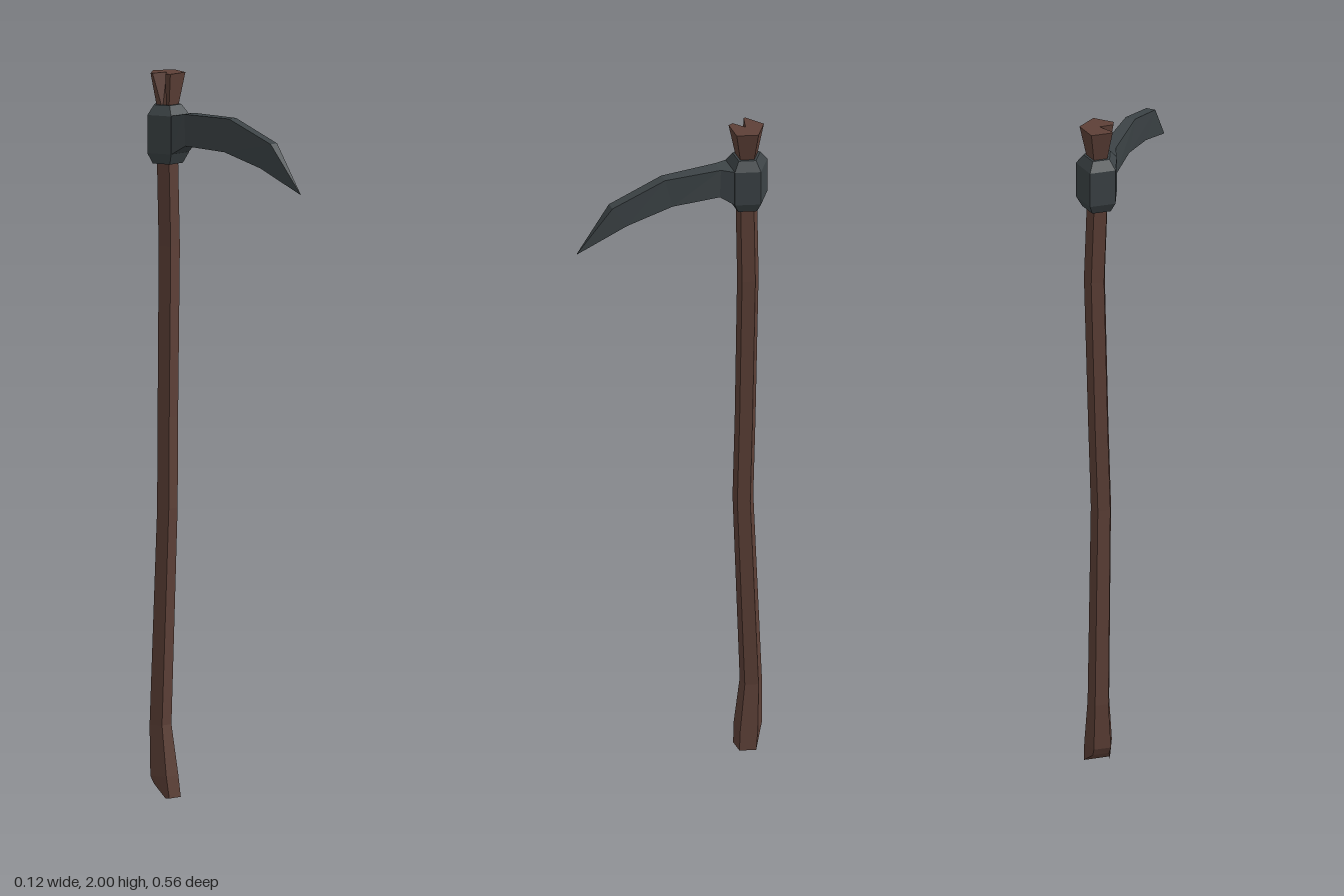
import * as THREE from 'three';

const wood = new THREE.MeshStandardMaterial({ color: 0x5d4037, flatShading: true });
const metal = new THREE.MeshStandardMaterial({ color: 0x3c4346, flatShading: true });

// Skins rings of [x, y, z] (clockwise seen from the last ring) and caps both ends with a fan.
function loft(name, rings, material, hub = 0) {
  const n = rings[0].length, index = [];
  for (let r = 0; r < rings.length - 1; r++) {
    for (let i = 0; i < n; i++) {
      const a = r * n + i, b = r * n + (i + 1) % n;
      index.push(a, a + n, b + n, a, b + n, b);
    }
  }
  const last = (rings.length - 1) * n;
  for (let k = 1; k < n - 1; k++) {
    const p = (hub + k) % n, q = (hub + k + 1) % n;
    index.push(hub, p, q, last + hub, last + q, last + p);
  }
  let geometry = new THREE.BufferGeometry();
  geometry.setAttribute('position', new THREE.Float32BufferAttribute(rings.flat(2), 3));
  geometry.setIndex(index);
  geometry = geometry.toNonIndexed();
  geometry.computeVertexNormals();
  const mesh = new THREE.Mesh(geometry, material);
  mesh.name = name;
  return mesh;
}

// Five-sided ring with one corner pointing back.
function pentagon(x, y, z, r) {
  return Array.from({ length: 5 }, (_, i) => {
    const a = i * Math.PI * 2 / 5;
    return [x + r * Math.sin(a), y, z - r * Math.cos(a)];
  });
}

// Pentagon with three more points on its left-hand edge, used for the split in the top.
function handleRing(x, y, z, r) {
  const ring = pentagon(x, y, z, r);
  const [from, to] = [ring[3], ring[4]];
  const extra = [0.25, 0.55, 0.9].map(t => from.map((v, k) => v + (to[k] - v) * t));
  return [...ring.slice(0, 4), ...extra, to];
}

export function createModel() {
  const group = new THREE.Group();

  // Slightly crooked handle: x, y, z, radius
  const rings = [
    [0, 0, -0.222, 0.039],
    [-0.006, 0.06, -0.228, 0.041],
    [-0.01, 0.2, -0.238, 0.032],
    [-0.008, 0.8, -0.214, 0.03],
    [-0.002, 1.05, -0.218, 0.03],
    [0.008, 1.52, -0.222, 0.031],
    [0, 1.76, -0.221, 0.031],
    [0, 1.9, -0.221, 0.03],
    [0, 2, -0.221, 0.051],
  ].map(p => handleRing(...p));
  // Slanted cut at the foot
  for (const p of rings[0]) p[1] = Math.max(0, -0.6 * p[0] - 0.8 * (p[2] + 0.222)) * 1.2;
  // Split in the top
  const top = rings[rings.length - 1];
  top[5] = [-0.003, 2, -0.219];
  group.add(loft('handle', rings, wood, 5));

  // Bevelled collar
  const collar = [[1.75, 0.044], [1.78, 0.061], [1.885, 0.061], [1.912, 0.04]]
    .map(([y, r]) => pentagon(0, y, -0.221, r));
  group.add(loft('collar', collar, metal));

  // Curved blade: top z, y, half width, then bottom z, y, half width
  const blade = [
    [-0.175, 1.886, 0.036, -0.175, 1.778, 0.036],
    [-0.137, 1.893, 0.02, -0.135, 1.805, 0.018],
    [0.025, 1.895, 0.014, 0, 1.8, 0.006],
    [0.18, 1.84, 0.013, 0.133, 1.768, 0.004],
    [0.28, 1.71, 0.0005, 0.279, 1.709, 0.0005],
  ].map(([zt, yt, wt, zb, yb, wb]) => [[-wt, yt, zt], [wt, yt, zt], [wb, yb, zb], [-wb, yb, zb]]);
  group.add(loft('blade', blade, metal));

  return group;
}
